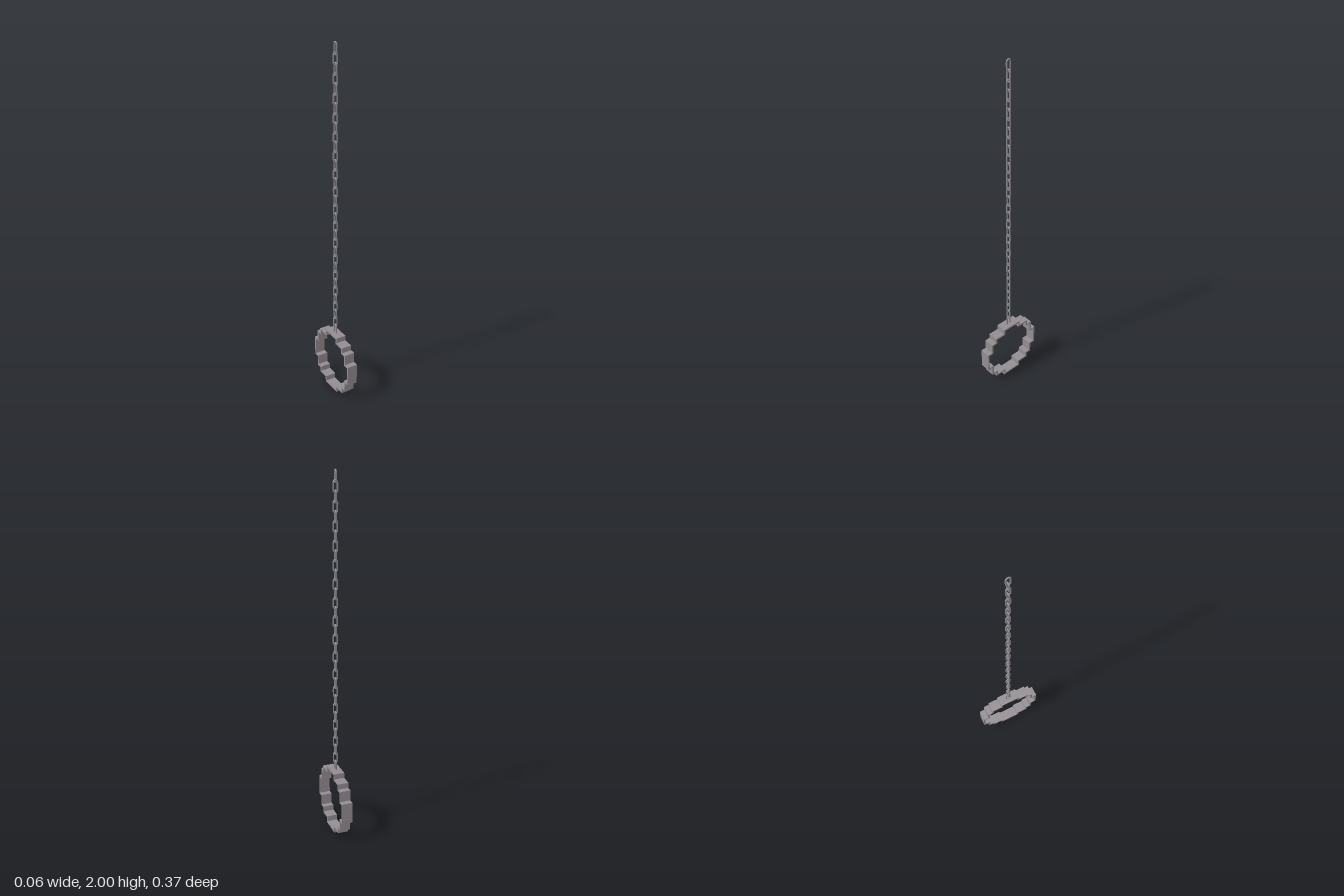
import * as THREE from 'three';

const RING_R = 0.184, RING_WIDTH = 0.06, WALL = 0.01;
const WIRE = 0.0042, BEND = 0.011, LINK_H = 0.07, LINKS = 33, PITCH = 0.0492;

// Stepped circle outline, pulled inwards by inset
function steppedLoop(inset) {
  const quarter = [
    [RING_R, 0.061], [0.153, 0.061], [0.153, 0.122], [0.122, 0.122],
    [0.122, 0.153], [0.061, 0.153], [0.061, RING_R],
  ].map(([a, b]) => [a - inset, b - inset]);
  const mirrored = [...quarter].reverse();
  return [
    ...quarter,
    ...mirrored.map(([a, b]) => [-a, b]),
    ...quarter.map(([a, b]) => [-a, -b]),
    ...mirrored.map(([a, b]) => [a, -b]),
  ].map(([a, b]) => new THREE.Vector2(a, b));
}

// Closed oval path of one chain link, lying in the xy plane
function linkGeometry() {
  const straight = LINK_H / 2 - WIRE - BEND;
  const points = [];
  for (const side of [0, 1]) {
    for (let i = 0; i <= 6; i++) {
      const a = Math.PI * (side + i / 6);
      points.push(new THREE.Vector3(
        Math.cos(a) * BEND, Math.sin(a) * BEND + (side ? -straight : straight), 0));
    }
  }
  const path = new THREE.CurvePath();
  points.forEach((p, i) =>
    path.add(new THREE.LineCurve3(p, points[(i + 1) % points.length])));
  return new THREE.TubeGeometry(path, 40, WIRE, 8, true);
}

export function createModel() {
  const model = new THREE.Group();
  model.name = 'hangingRing';

  // Stepped band hanging at the bottom
  const outline = new THREE.Shape(steppedLoop(0));
  outline.holes.push(new THREE.Path(steppedLoop(WALL)));
  const ringGeometry = new THREE.ExtrudeGeometry(outline, { depth: RING_WIDTH, bevelEnabled: false });
  ringGeometry.translate(0, 0, -RING_WIDTH / 2).rotateY(Math.PI / 2);
  const ring = new THREE.Mesh(ringGeometry, new THREE.MeshStandardMaterial({ color: 0x938d92 }));
  ring.name = 'steppedRing';
  ring.position.y = RING_R;
  model.add(ring);

  // Chain of links, each turned a quarter from its neighbour
  const chain = new THREE.Group();
  chain.name = 'chain';
  const geometry = linkGeometry();
  const material = new THREE.MeshStandardMaterial({ color: 0x8c888d });
  for (let i = 0; i < LINKS; i++) {
    const link = new THREE.Mesh(geometry, material);
    link.name = 'chainLink';
    link.position.y = 2 - LINK_H / 2 - i * PITCH;
    link.rotation.y = i % 2 ? 0 : Math.PI / 2;
    chain.add(link);
  }
  model.add(chain);
  return model;
}
